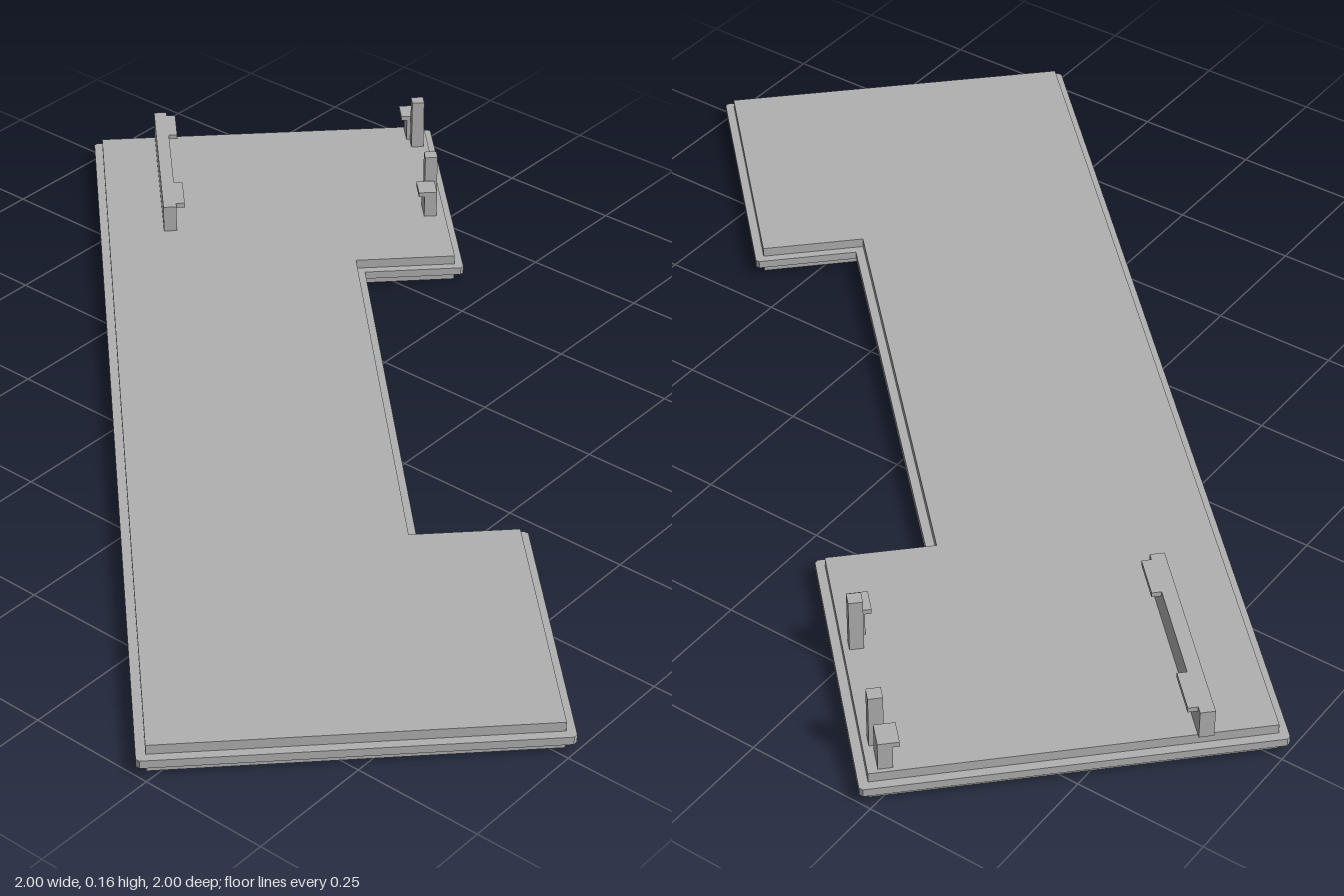
import * as THREE from 'three';

const grey = new THREE.MeshStandardMaterial({ color: 0xb0b0b0 });
grey.name = 'plain grey';

// Notched plate outline, pulled in by d, with convex corners clipped by c.
function outline(d, c) {
  const L = 1.05 - d, W = 0.37 - d, n = 0.463 + d, m = 0.166 - d;
  const half = [
    [n, -m], [n, -W + c], [n + c, -W], [L - c, -W], [L, -W + c], [L, W - c], [L - c, W],
  ];
  const mirrored = half.map(([x, y]) => [-x, y]).reverse();
  return new THREE.Shape([...half, ...mirrored].map(([x, y]) => new THREE.Vector2(x, y)));
}

function layer(name, d, c, y0, y1) {
  const geo = new THREE.ExtrudeGeometry(outline(d, c), { depth: y1 - y0, bevelEnabled: false });
  geo.rotateX(-Math.PI / 2).translate(0, y0, 0);
  const mesh = new THREE.Mesh(geo, grey);
  mesh.name = name;
  return mesh;
}

// Box given by its ranges along the plate (u), upward (y) and across (v).
function block(name, u0, u1, y0, y1, v0, v1) {
  const geo = new THREE.BoxGeometry(u1 - u0, y1 - y0, v1 - v0);
  geo.translate((u0 + u1) / 2, (y0 + y1) / 2, (v0 + v1) / 2);
  const mesh = new THREE.Mesh(geo, grey);
  mesh.name = name;
  return mesh;
}

export function createModel() {
  const model = new THREE.Group();
  model.name = 'notchedCoverPlate';
  const top = 0.055;

  // Plate: two inset skins around a projecting tongue
  model.add(
    layer('lowerPlate', 0.017, 0.0005, 0, 0.02),
    layer('edgeTongue', 0, 0.006, 0.02, 0.036),
    layer('upperPlate', 0.017, 0.0005, 0.036, top),
  );

  // Long clip wall with a catch at each end
  model.add(block('clipWall', 0.631, 1.04, top, 0.112, -0.238, -0.211));
  for (const [a, b] of [[0.645, 0.732], [0.938, 1.025]]) {
    model.add(block('wallCatch', a, b, 0.102, 0.112, -0.211, -0.193));
  }

  // Two mirrored pairs: low clip with a catch beside a tall post
  const mid = 0.835;
  for (const s of [-1, 1]) {
    const span = (a, b) => [mid + s * a, mid + s * b].sort((p, q) => p - q);
    model.add(
      block('lowClip', ...span(0.142, 0.19), top, 0.112, 0.309, 0.335),
      block('clipCatch', ...span(0.142, 0.19), 0.102, 0.112, 0.297, 0.309),
      block('tallPost', ...span(0.107, 0.133), top, 0.163, 0.316, 0.342),
    );
  }

  // The plate lies diagonally
  model.rotation.y = Math.PI / 4;
  return model;
}
